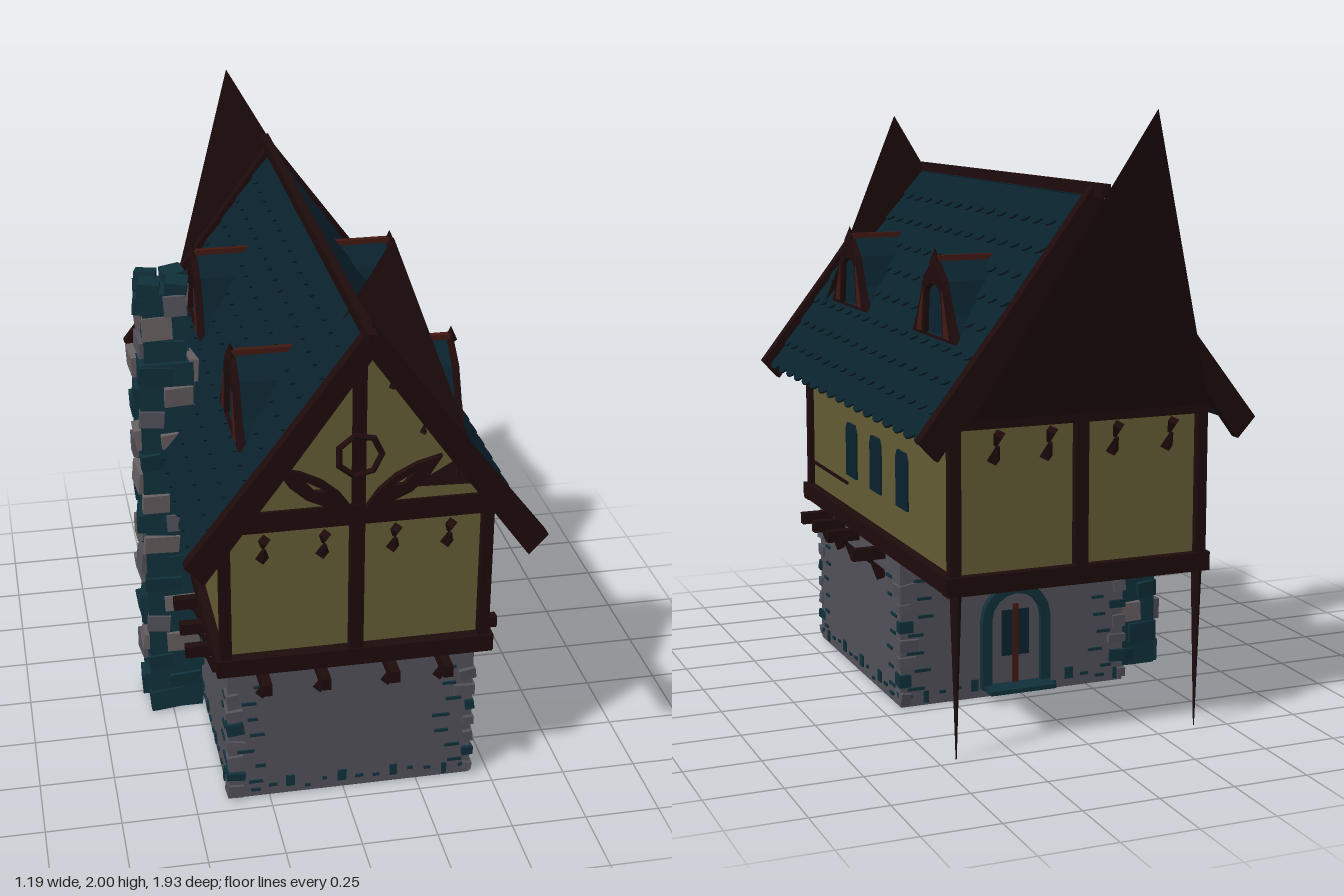
import * as THREE from 'three';

const mat = (name, color, double) => {
  const m = new THREE.MeshStandardMaterial({ color, flatShading: true });
  m.name = name;
  if (double) m.side = THREE.DoubleSide;
  return m;
};

export function createModel() {
  const timber = mat('dark timber', 0x1e0b0c, true);
  const plaster = mat('ochre plaster', 0x655c34);
  const stone = mat('grey stone', 0x53515a);
  const paleStone = mat('pale stone', 0x686062);
  const slate = mat('blue stone', 0x10303a);
  const tile = mat('roof tile', 0x0a222d);
  const glass = mat('window blue', 0x0b2330);
  const redWood = mat('red wood', 0x431812);

  let seed = 7;
  const rnd = (a, b) => {
    seed = (seed * 16807) % 2147483647;
    return a + (b - a) * (seed / 2147483647);
  };

  const model = new THREE.Group();
  model.name = 'house';
  const house = new THREE.Group();
  house.name = 'building';
  house.position.x = 0.025;
  model.add(house);

  const add = (parent, name, geo, m, x = 0, y = 0, z = 0) => {
    const mesh = new THREE.Mesh(geo, m);
    mesh.name = name;
    mesh.position.set(x, y, z);
    parent.add(mesh);
    return mesh;
  };
  // Box given by its extents
  const box = (parent, name, m, x0, x1, y0, y1, z0, z1) =>
    add(parent, name, new THREE.BoxGeometry(x1 - x0, y1 - y0, z1 - z0), m,
      (x0 + x1) / 2, (y0 + y1) / 2, (z0 + z1) / 2);
  const poly = (pts) => new THREE.Shape(pts.map((p) => new THREE.Vector2(p[0], p[1])));
  const slab = (shape, depth) =>
    new THREE.ExtrudeGeometry(shape, { depth, bevelEnabled: false, curveSegments: 4 });

  // Stone ground floor, open below
  box(house, 'stoneFrontWall', stone, -0.41, 0.41, 0, 0.53, 0.66, 0.69);
  box(house, 'stoneBackWall', stone, -0.41, 0.41, 0, 0.53, -0.2, -0.17);
  for (const s of [-1, 1])
    box(house, 'stoneSideWall', stone, s * 0.395 - 0.015, s * 0.395 + 0.015, 0, 0.53, -0.2, 0.69);
  for (const [x, z] of [[-0.3, 0.57], [-0.36, 0.42]])
    box(house, 'innerPost', timber, x - 0.015, x + 0.015, 0.02, 0.53, z - 0.015, z + 0.015);

  // Corner stones, thin joints beside them and stones along the base
  for (const sx of [-1, 1]) for (const z of [-0.2, 0.69])
    for (let i = 0; i < 7; i++) {
      const w = rnd(0.03, 0.07), d = rnd(0.03, 0.07), y = 0.03 + i * 0.062, out = z > 0 ? 1 : -1;
      const q = add(house, 'cornerStone', new THREE.BoxGeometry(w, rnd(0.025, 0.045), d),
        i % 3 === 1 ? slate : stone, sx * (0.416 - w / 2), y, z + out * (0.012 - d / 2));
      q.rotation.set(rnd(-0.1, 0.1), rnd(-0.1, 0.1), rnd(-0.15, 0.15));
      add(house, 'stoneJoint', new THREE.BoxGeometry(rnd(0.03, 0.06), 0.01, 0.008), slate,
        sx * rnd(0.3, 0.36), y + 0.03, z + out * 0.002);
      add(house, 'stoneJoint', new THREE.BoxGeometry(0.008, 0.01, rnd(0.03, 0.06)), slate,
        sx * 0.411, y + 0.03, z - out * rnd(0.06, 0.11));
    }
  for (let i = 0; i < 14; i++) {
    const t = i / 13, y = rnd(0.015, 0.05), len = rnd(0.012, 0.035), tall = i % 3 ? 0.01 : 0.04;
    for (const z of [-0.2, 0.69])
      add(house, 'baseStone', new THREE.BoxGeometry(len, tall, 0.012), slate, -0.38 + 0.76 * t, y, z);
    for (const sx of [-1, 1])
      add(house, 'baseStone', new THREE.BoxGeometry(0.012, tall, len), slate, sx * 0.41, y, -0.18 + 0.84 * t);
  }

  // Arched back door with stone surround and step
  const arch = (r, h) => {
    const s = new THREE.Shape();
    s.moveTo(-r, 0); s.lineTo(r, 0); s.lineTo(r, h);
    s.absarc(0, h, r, 0, Math.PI, false);
    return s;
  };
  const surround = arch(0.125, 0.24);
  surround.holes.push(arch(0.09, 0.24));
  add(house, 'doorSurround', slab(surround, 0.03), slate, 0, 0.03, -0.225);
  add(house, 'door', slab(arch(0.09, 0.24), 0.008), stone, 0, 0.03, -0.207);
  box(house, 'doorWindow', glass, -0.05, 0.05, 0.14, 0.3, -0.212, -0.204);
  box(house, 'doorBar', redWood, -0.01, 0.01, 0.04, 0.32, -0.216, -0.208);
  box(house, 'doorStep', slate, -0.12, 0.12, 0.03, 0.045, -0.29, -0.2);

  // Plastered upper floor, plaster front gable and boarded back gable
  box(house, 'upperWalls', plaster, -0.42, 0.42, 0.54, 1.08, -0.72, 0.72);
  const gable = poly([[-0.44, 1.07], [0.44, 1.07], [0, 1.67]]);
  add(house, 'frontGable', slab(gable, 0.03), plaster, 0, 0, 0.72);
  add(house, 'backGable', slab(gable, 0.03), timber, 0, 0, -0.74);

  // Timber frame
  for (const s of [-1, 1]) {
    box(house, 'sideSillBeam', timber, s * 0.43 - 0.022, s * 0.43 + 0.022, 0.53, 0.585, -0.74, 0.76);
    const z = s > 0 ? 0.735 : -0.725;
    box(house, 'endSillBeam', timber, -0.45, 0.45, 0.525, 0.585, z - 0.025, z + 0.025);
    box(house, 'endTopBeam', timber, -0.45, 0.45, 1.04, 1.11, z - 0.025, z + 0.025);
    box(house, 'centrePost', timber, -0.022, 0.022, 0.58, 1.66, z - 0.022, z + 0.022);
    for (const x of [-0.42, 0.42])
      box(house, 'cornerPost', timber, x - 0.018, x + 0.018, 0.56, 1.06, z - 0.018, z + 0.018);
    // Tapered stilts under the overhang
    add(house, 'overhangStilt', new THREE.CylinderGeometry(0.02, 0.002, 0.54, 4), timber, s * 0.415, 0.27, -0.725);
  }
  add(house, 'sideRail', new THREE.BoxGeometry(0.01, 0.01, 0.4), timber, 0.422, 0.668, 0.51);

  // Gable ring, curved braces and pegs
  add(house, 'gableRing', new THREE.TorusGeometry(0.07, 0.011, 4, 7), timber, 0, 1.28, 0.76);
  for (const s of [-1, 1]) {
    const brace = new THREE.Shape();
    brace.moveTo(s * 0.02, 1.1);
    brace.quadraticCurveTo(s * 0.09, 1.23, s * 0.26, 1.26);
    brace.quadraticCurveTo(s * 0.19, 1.11, s * 0.02, 1.1);
    const gap = new THREE.Path();
    gap.moveTo(s * 0.1, 1.17);
    gap.lineTo(s * 0.18, 1.215);
    gap.lineTo(s * 0.14, 1.17);
    brace.holes.push(gap);
    add(house, 'gableBrace', slab(brace, 0.02), timber, 0, 0, 0.75);
    for (const [x, y] of [[0.31, 1.2], [0.2, 1.35], [0.1, 1.51]])
      add(house, 'gablePeg', new THREE.ConeGeometry(0.014, 0.03, 3), timber, s * x, y, 0.755);
  }

  // Joist end with pointed brace; local +z points away from the wall
  const bracket = (x, y, z, ry, reach) => {
    const g = new THREE.Group();
    g.name = 'bracket';
    g.position.set(x, y, z);
    g.rotation.y = ry;
    if (reach > 0.1) box(g, 'joistEnd', timber, -0.016, 0.016, -0.02, 0.02, -0.03, reach);
    const top = add(g, 'braceTop', new THREE.CylinderGeometry(0.02, 0.007, 0.05, 4), timber, 0, -0.012, reach * 0.5);
    const tip = add(g, 'braceFoot', new THREE.CylinderGeometry(0.007, 0.022, 0.06, 4), timber, 0, -0.058, reach * 0.22);
    top.rotation.x = tip.rotation.x = 0.6;
    house.add(g);
  };
  for (const x of [-0.3, -0.11, 0.115, 0.29]) {
    bracket(x, 0.5, 0.69, 0, 0.13);
    bracket(x, 0.5, -0.2, Math.PI, 0.12);
    bracket(x, 1.02, 0.74, 0, 0.06);
    bracket(x, 1.02, -0.73, Math.PI, 0.06);
  }
  for (const z of [0.54, 0.4, 0.24, -0.04])
    for (const s of [-1, 1]) bracket(s * 0.41, 0.5, z, s * Math.PI / 2, 0.115);

  // Side windows with clipped tops
  const pane = poly([[-0.055, 0.7], [0.055, 0.7], [0.055, 0.865], [0.04, 0.89], [-0.04, 0.89], [-0.055, 0.865]]);
  for (const z of [0.26, 0, -0.265])
    add(house, 'sideWindow', slab(pane, 0.008), glass, 0.419, 0, z).rotation.y = Math.PI / 2;

  // Roof: one tiled slope with two dormers, turned round for the other side
  const run = 0.52, drop = 0.71, L = Math.hypot(run, drop), a = run / L, b = drop / L;
  const dormerShape = () => poly([[-0.19, 1.275], [0.19, 1.275], [0.13, 1.36], [0.085, 1.46], [0, 1.525], [-0.085, 1.46], [-0.13, 1.36]]);
  for (const turn of [0, Math.PI]) {
    const half = new THREE.Group();
    half.name = 'roofHalf';
    half.position.z = 0.045;
    half.rotation.y = turn;
    house.add(half);
    const slope = new THREE.Group();
    slope.name = 'roofSlope';
    slope.applyMatrix4(new THREE.Matrix4().makeBasis(
      new THREE.Vector3(0, 0, -1), new THREE.Vector3(-a, b, 0), new THREE.Vector3(b, a, 0)));
    slope.position.y = 1.73;
    half.add(slope);
    box(slope, 'roofDeck', tile, -0.83, 0.83, -L + 0.02, 0, -0.025, 0);
    const rows = 9, h = L / rows, n = 17, w = 1.66 / n;
    for (let r = 0; r < rows; r++) {
      const s = new THREE.Shape();
      const off = r % 2 ? w / 2 : 0;
      s.moveTo(0.83, 0.01);
      s.lineTo(-0.83, 0.01);
      s.lineTo(-0.83, -h);
      for (let i = 0; i < n; i++) {
        const x0 = Math.max(-0.83, -0.83 + i * w - off), x1 = -0.83 + (i + 1) * w - off;
        s.quadraticCurveTo((x0 + x1) / 2, -h - 0.045, x1, -h);
      }
      if (off) s.lineTo(0.83, -h);
      const g = slab(s, 0.007);
      g.rotateX(-0.07);
      add(slope, 'tileRow', g, tile, 0, -r * h, 0);
    }
    for (const z of [-0.43, 0.43]) {
      const d = new THREE.Group();
      d.name = 'dormer';
      d.position.set(0.08, 0, z);
      d.rotation.y = Math.PI / 2;
      half.add(d);
      add(d, 'dormerBody', slab(dormerShape(), 0.255), tile);
      const frame = dormerShape();
      frame.holes.push(poly([[-0.085, 1.28], [-0.07, 1.42], [-0.03, 1.445], [0.03, 1.445], [0.07, 1.42], [0.085, 1.28]]));
      add(d, 'dormerFrame', slab(frame, 0.025), timber, 0, 0, 0.253);
      add(d, 'dormerWindow', new THREE.BoxGeometry(0.16, 0.15, 0.008), glass, 0, 1.36, 0.257);
      for (const s of [-1, 1])
        add(d, 'dormerTrim', slab(poly(s > 0 ? [[0.1, 1.285], [0.145, 1.285], [0.085, 1.43]]
          : [[-0.085, 1.43], [-0.145, 1.285], [-0.1, 1.285]]), 0.008), redWood, 0, 0, 0.273);
      add(d, 'dormerPeak', new THREE.ConeGeometry(0.022, 0.05, 4), timber, 0, 1.535, 0.27);
      box(d, 'dormerRidge', redWood, -0.01, 0.01, 1.515, 1.535, 0.05, 0.27);
    }
  }

  // Barge boards and sloping ridge beam
  const barge = poly([[0, 1.775], [-0.29, 1.385], [-0.565, 1.03], [-0.505, 0.965], [-0.26, 1.3], [0, 1.665],
    [0.26, 1.3], [0.505, 0.965], [0.565, 1.03], [0.29, 1.385]]);
  add(house, 'frontBargeBoard', slab(barge, 0.04), timber, 0, 0, 0.872);
  add(house, 'backBargeBoard', slab(barge, 0.04), timber, 0, 0, -0.82);
  add(house, 'ridgeBeam', new THREE.BoxGeometry(0.028, 0.04, 1.84), timber, -0.01, 1.752, 0.04).rotation.x = 0.006;

  // Tall leaning gable boards that rise through the roof
  const leaning = (name, pts) => {
    const g = new THREE.BufferGeometry();
    g.setAttribute('position', new THREE.Float32BufferAttribute(pts.flat(), 3));
    g.computeVertexNormals();
    add(house, name, g, timber);
  };
  leaning('frontSpire', [[-0.385, 1.15, 0.715], [0.4, 1.15, 0.765], [0.115, 1.94, 0.66]]);
  leaning('backSpire', [[0.4, 1.08, -0.82], [-0.4, 1.08, -0.82], [-0.135, 2, -0.965]]);

  // Rough stone chimney
  const chimney = new THREE.Group();
  chimney.name = 'chimney';
  chimney.position.set(-0.49, 0, 0.03);
  model.add(chimney);
  box(chimney, 'chimneyCore', slate, -0.085, 0.095, 0, 1.34, -0.095, 0.095);
  box(chimney, 'chimneyNeck', slate, -0.065, 0.075, 1.34, 1.58, -0.075, 0.075);
  const mats = [paleStone, slate, stone, slate, paleStone];
  for (let i = 0; i < 20; i++) {
    const y = 0.04 + i * 0.079, narrow = y > 1.36 && y < 1.5;
    const r = y < 1.36 ? 0.09 : narrow ? 0.068 : 0.078;
    for (let k = 0; k < 4; k++) {
      const w = rnd(0.07, 0.13);
      const side = new THREE.Group();
      side.name = 'chimneyCourse';
      side.rotation.y = k * Math.PI / 2;
      chimney.add(side);
      const st = add(side, 'chimneyStone', new THREE.BoxGeometry(w, rnd(0.05, 0.08), 0.03),
        i < 2 ? slate : mats[(i * 3 + k * 2) % 5], (i % 2 ? 1 : -1) * (r - w / 2), y, r);
      st.rotation.set(rnd(-0.15, 0.15), rnd(-0.12, 0.12), rnd(-0.1, 0.1));
    }
  }
  for (const sx of [-1, 1]) for (const sz of [-1, 1])
    add(chimney, 'chimneyCap', new THREE.BoxGeometry(0.07, 0.06, 0.07), slate, 0.005 + sx * 0.045, 1.59, sz * 0.045)
      .rotation.set(rnd(-0.2, 0.2), rnd(-0.4, 0.4), rnd(-0.2, 0.2));

  return model;
}
